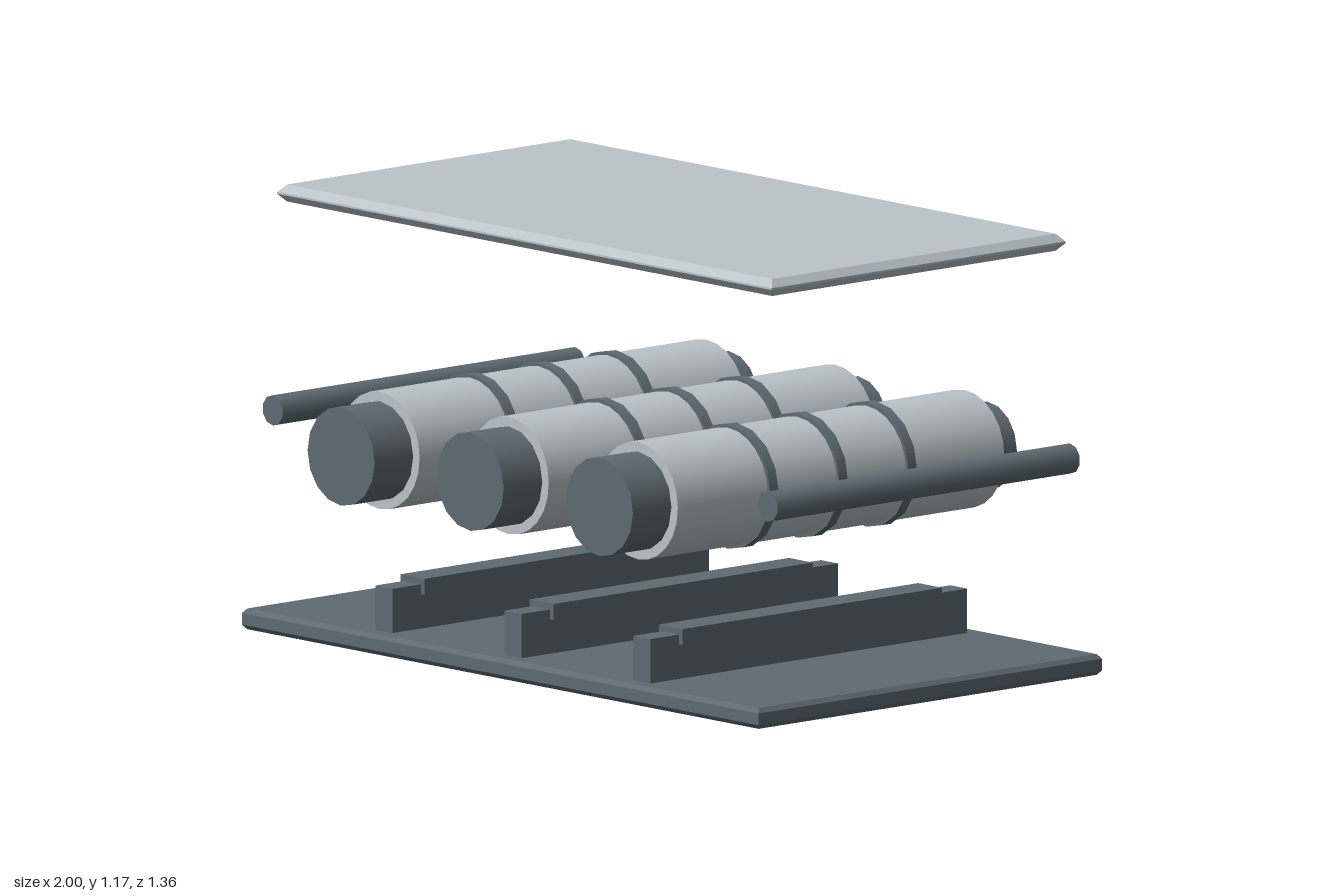
import * as THREE from 'three';

export function createModel() {
  const model = new THREE.Group();
  const light = new THREE.MeshStandardMaterial({ color: 0xbac4c9 });
  light.name = 'pale grey';
  const dark = new THREE.MeshStandardMaterial({ color: 0x5e6b72 });
  dark.name = 'slate grey';

  function add(parent, name, geometry, material, x = 0, y = 0, z = 0) {
    const mesh = new THREE.Mesh(geometry, material);
    mesh.name = name;
    mesh.position.set(x, y, z);
    parent.add(mesh);
    return mesh;
  }

  // Horizontal slab with chamfered rims, standing on y = 0
  function slab(width, height, depth, bevelSize, bevelHeight) {
    const w = width / 2 - bevelSize, d = depth / 2 - bevelSize;
    const shape = new THREE.Shape([
      new THREE.Vector2(-w, -d), new THREE.Vector2(w, -d),
      new THREE.Vector2(w, d), new THREE.Vector2(-w, d),
    ]);
    const geometry = new THREE.ExtrudeGeometry(shape, {
      depth: height - 2 * bevelHeight, bevelEnabled: true,
      bevelThickness: bevelHeight, bevelSize, bevelSegments: 1,
    });
    return geometry.translate(0, 0, bevelHeight).rotateX(-Math.PI / 2);
  }

  // Cylinder along z between two depths
  function rod(radius, z0, z1, sides) {
    return new THREE.CylinderGeometry(radius, radius, z1 - z0, sides)
      .rotateX(Math.PI / 2).translate(0, 0, (z0 + z1) / 2);
  }

  // Base and floating roof panel
  add(model, 'base', slab(2, 0.055, 1.205, 0.01, 0.012), dark, 0, 0, -0.0275);
  add(model, 'roofPanel', slab(1.915, 0.045, 1.03, 0.018, 0.02), light, 0, 1.125, -0.025);

  // Three banded canisters, each above its support rail
  for (const x of [-0.5, 0, 0.5]) {
    const canister = new THREE.Group();
    canister.name = 'canister';
    canister.position.set(x, 0.535, 0);
    model.add(canister);
    add(canister, 'canisterBody', rod(0.155, -0.6, 0.545, 24), light);
    add(canister, 'frontCap', rod(0.13, 0.54, 0.68, 16), dark);
    add(canister, 'rearCap', rod(0.115, -0.68, -0.595, 16), dark);
    for (const z of [0.215, -0.028, -0.27]) {
      add(canister, 'band', rod(0.165, z - 0.015, z + 0.015, 16), dark);
    }

    const rail = new THREE.Group();
    rail.name = 'supportRail';
    rail.position.x = x;
    model.add(rail);
    add(rail, 'railWeb', new THREE.BoxGeometry(0.066, 0.122, 1.11), dark, 0, 0.111, -0.025);
    add(rail, 'railTop', new THREE.BoxGeometry(0.092, 0.042, 0.91), dark, 0, 0.167, -0.025);
  }

  // Side bars
  for (const side of [-1, 1]) {
    add(model, 'sideBar', rod(0.04, -0.555, 0.505, 10), dark, side * 0.958, 0.575, 0);
  }

  return model;
}
